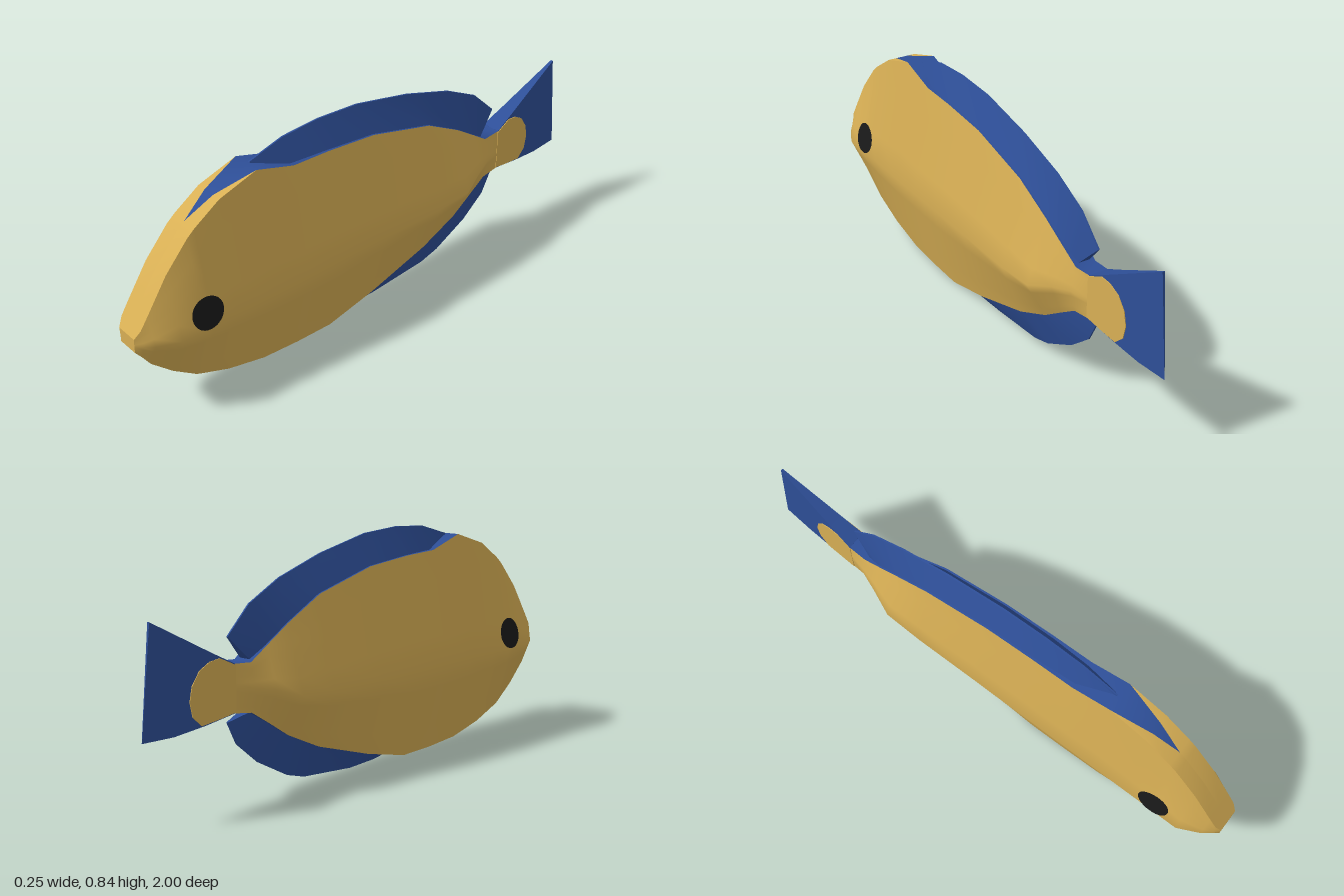
import * as THREE from 'three';

const gold = new THREE.MeshStandardMaterial({ color: 0xd9b055 });
gold.name = 'golden yellow';
const blue = new THREE.MeshStandardMaterial({ color: 0x2e4f98 });
blue.name = 'deep blue';
const black = new THREE.MeshStandardMaterial({ color: 0x1a1a1a });
black.name = 'eye black';

// Body sections, nose to tail root: z, top, bottom, flank y, half widths at top, flank and bottom
const SECTIONS = [
  [1.0, 0.365, 0.31, 0.335, 0.042, 0.04, 0.04],
  [0.98, 0.395, 0.285, 0.335, 0.054, 0.062, 0.045],
  [0.95, 0.44, 0.24, 0.335, 0.055, 0.085, 0.045],
  [0.87, 0.56, 0.165, 0.335, 0.055, 0.123, 0.045],
  [0.78, 0.66, 0.1, 0.335, 0.055, 0.123, 0.045],
  [0.75, 0.685, 0.088, 0.335, 0.055, 0.123, 0.045],
  [0.65, 0.75, 0.05, 0.335, 0.055, 0.123, 0.045],
  [0.5, 0.796, 0.016, 0.335, 0.055, 0.123, 0.045],
  [0.35, 0.75, 0.006, 0.335, 0.055, 0.123, 0.045],
  [0.2, 0.744, 0.004, 0.335, 0.055, 0.123, 0.045],
  [0, 0.726, 0.05, 0.335, 0.055, 0.123, 0.045],
  [-0.26, 0.66, 0.13, 0.335, 0.055, 0.123, 0.045],
  [-0.41, 0.58, 0.2, 0.345, 0.05, 0.12, 0.045],
  [-0.5, 0.52, 0.26, 0.375, 0.044, 0.084, 0.042],
  [-0.57, 0.472, 0.305, 0.388, 0.038, 0.058, 0.038],
  [-0.645, 0.478, 0.316, 0.39, 0.036, 0.036, 0.036],
];

const mix = THREE.MathUtils.lerp;

// Smooth surface through rows of points
function grid(rows) {
  const n = rows[0].length, index = [];
  for (let i = 0; i < rows.length - 1; i++)
    for (let j = 0; j < n - 1; j++) {
      const a = i * n + j, b = a + n;
      index.push(a, b, a + 1, a + 1, b, b + 1);
    }
  const g = new THREE.BufferGeometry();
  g.setAttribute('position', new THREE.Float32BufferAttribute(rows.flat(2), 3));
  g.setIndex(index);
  g.computeVertexNormals();
  return g;
}

const mirrorRows = rows => rows.map(r => r.map(([x, y, z]) => [-x, y, z]).reverse());

// Flank half width at any height of a section
function flankX([, top, bot, mid, wTop, wMid, wBot], y) {
  return y > mid ? mix(wMid, wTop, (y - mid) / (top - mid)) : mix(wMid, wBot, (mid - y) / (mid - bot));
}

function sectionAt(z) {
  const i = Math.max(1, SECTIONS.findIndex(s => s[0] <= z));
  const a = SECTIONS[i - 1], b = SECTIONS[i];
  return a.map((v, k) => mix(v, b[k], (z - a[0]) / (b[0] - a[0])));
}

// Flat wedge from a (z, y) outline, thinning to nothing at the tail's end
function wedge(outline, extra) {
  const shape = new THREE.Shape(outline.map(([z, y]) => new THREE.Vector2(-z, y)));
  const g = new THREE.ExtrudeGeometry(shape, { depth: 1, bevelEnabled: false });
  const p = g.attributes.position;
  for (let i = 0; i < p.count; i++) {
    const z = -p.getX(i), w = 0.1 * (z + 1) + extra;
    p.setXYZ(i, p.getZ(i) > 0.5 ? w : -w, p.getY(i), z);
  }
  g.computeVertexNormals();
  return g;
}

// Tent-shaped fin: rows of base z, base y, base half width, crest z, crest y
function fin(rows, dir) {
  const side = rows.map(([bz, by, w, cz, cy]) => {
    const pts = [[w, by, bz], [0.003, cy, cz]];
    return dir > 0 ? pts : pts.reverse();
  });
  const crest = rows.map(([, , , cz, cy]) => [[0.003 * dir, cy, cz], [-0.003 * dir, cy, cz]]);
  const [bz, by, w, cz, cy] = rows[rows.length - 1];
  const base = [[w * dir, by, bz], [-w * dir, by, bz]];
  const tip = [[0.003 * dir, cy, cz], [-0.003 * dir, cy, cz]];
  return [side, mirrorRows(side), crest, [tip, base]].map(grid);
}

export function createModel() {
  const model = new THREE.Group();
  const add = (name, geometry, material) => {
    const m = new THREE.Mesh(geometry, material);
    m.name = name;
    model.add(m);
    return m;
  };

  // Flanks, bottom to top
  const flank = SECTIONS.map(s => {
    const [z, top, bot, mid] = s, pts = [];
    for (let k = 0; k <= 8; k++) {
      const y = k < 4 ? mix(bot, mid, k / 4) : mix(mid, top, (k - 4) / 4);
      pts.push([flankX(s, y), y, z]);
    }
    return pts;
  });
  add('leftFlank', grid(flank), gold);
  add('rightFlank', grid(mirrorRows(flank)), gold);

  // Blunt snout
  const [nz, nTop, nBot, nMid, nwT, nwM, nwB] = SECTIONS[0];
  add('snout', grid([[nwT, nTop], [nwM, nMid], [nwB, nBot]].map(([w, y]) => [[-w, y, nz], [w, y, nz]])), gold);

  // Back and belly: a blue middle that widens from a point, gold beside it at the front
  for (const [part, yi, wi, start, dir] of [['back', 1, 4, 0.75, 1], ['belly', 2, 6, 0.78, -1]]) {
    const inner = s => s[wi] * THREE.MathUtils.clamp((start - s[0]) / (start - 0.5), 0, 1);
    const front = SECTIONS.filter(s => s[0] >= 0.5);
    const edge = front.map(s => {
      const pts = [[s[wi], s[yi], s[0]], [inner(s), s[yi], s[0]]];
      return dir > 0 ? pts : pts.reverse();
    });
    add(part + 'FrontLeft', grid(edge), gold);
    add(part + 'FrontRight', grid(mirrorRows(edge)), gold);
    const middle = SECTIONS.filter(s => s[0] <= start).map(s =>
      [[inner(s) * dir, s[yi], s[0]], [-inner(s) * dir, s[yi], s[0]]]);
    add(part + 'Stripe', grid(middle), blue);
  }

  // Long fins above and below
  const dorsal = [
    [0.48, 0.785, 0.004, 0.49, 0.797], [0.35, 0.745, 0.04, 0.35, 0.836],
    [0.2, 0.74, 0.048, 0.2, 0.845], [0, 0.722, 0.05, 0.03, 0.835],
    [-0.26, 0.656, 0.05, -0.2, 0.787], [-0.41, 0.577, 0.046, -0.4, 0.725],
    [-0.5, 0.518, 0.038, -0.54, 0.655], [-0.56, 0.477, 0.022, -0.638, 0.56],
  ];
  const anal = [
    [0.16, 0.016, 0.006, 0.14, 0.016], [0.08, 0.034, 0.036, 0.08, 0.007],
    [0, 0.054, 0.042, -0.05, 0.002], [-0.26, 0.134, 0.043, -0.29, 0.022],
    [-0.34, 0.17, 0.043, -0.37, 0.045], [-0.41, 0.204, 0.04, -0.51, 0.12],
    [-0.5, 0.264, 0.034, -0.605, 0.2], [-0.565, 0.303, 0.022, -0.645, 0.28],
  ];
  for (const [name, rows, dir] of [['dorsalFin', dorsal, 1], ['analFin', anal, -1]]) {
    const group = new THREE.Group();
    group.name = name;
    fin(rows, dir).forEach((g, i) => {
      const m = add(name + ['Left', 'Right', 'Crest', 'RearEdge'][i], g, blue);
      group.add(m);
    });
    model.add(group);
  }

  // Tail fin with a rounded gold root
  add('tailFin', wedge([
    [-0.64, 0.478], [-0.64, 0.316], [-0.76, 0.295], [-0.88, 0.28],
    [-0.999, 0.28], [-0.96, 0.65], [-0.73, 0.525],
  ], 0.0005), blue);
  add('tailRoot', wedge([
    [-0.638, 0.474], [-0.638, 0.319], [-0.7, 0.308], [-0.775, 0.297], [-0.81, 0.33], [-0.82, 0.38],
    [-0.81, 0.43], [-0.78, 0.475], [-0.74, 0.498], [-0.7, 0.504],
  ], 0.003), gold);

  // Eyes: discs wrapped on the flanks
  for (const side of [1, -1]) {
    const eye = new THREE.CircleGeometry(0.06, 28);
    const p = eye.attributes.position;
    for (let i = 0; i < p.count; i++) {
      const y = 0.392 + p.getY(i) * 0.97, z = 0.762 - side * p.getX(i);
      p.setXYZ(i, side * (flankX(sectionAt(z), y) + 0.004), y, z);
    }
    eye.computeVertexNormals();
    add(side > 0 ? 'leftEye' : 'rightEye', eye, black);
  }
  return model;
}
